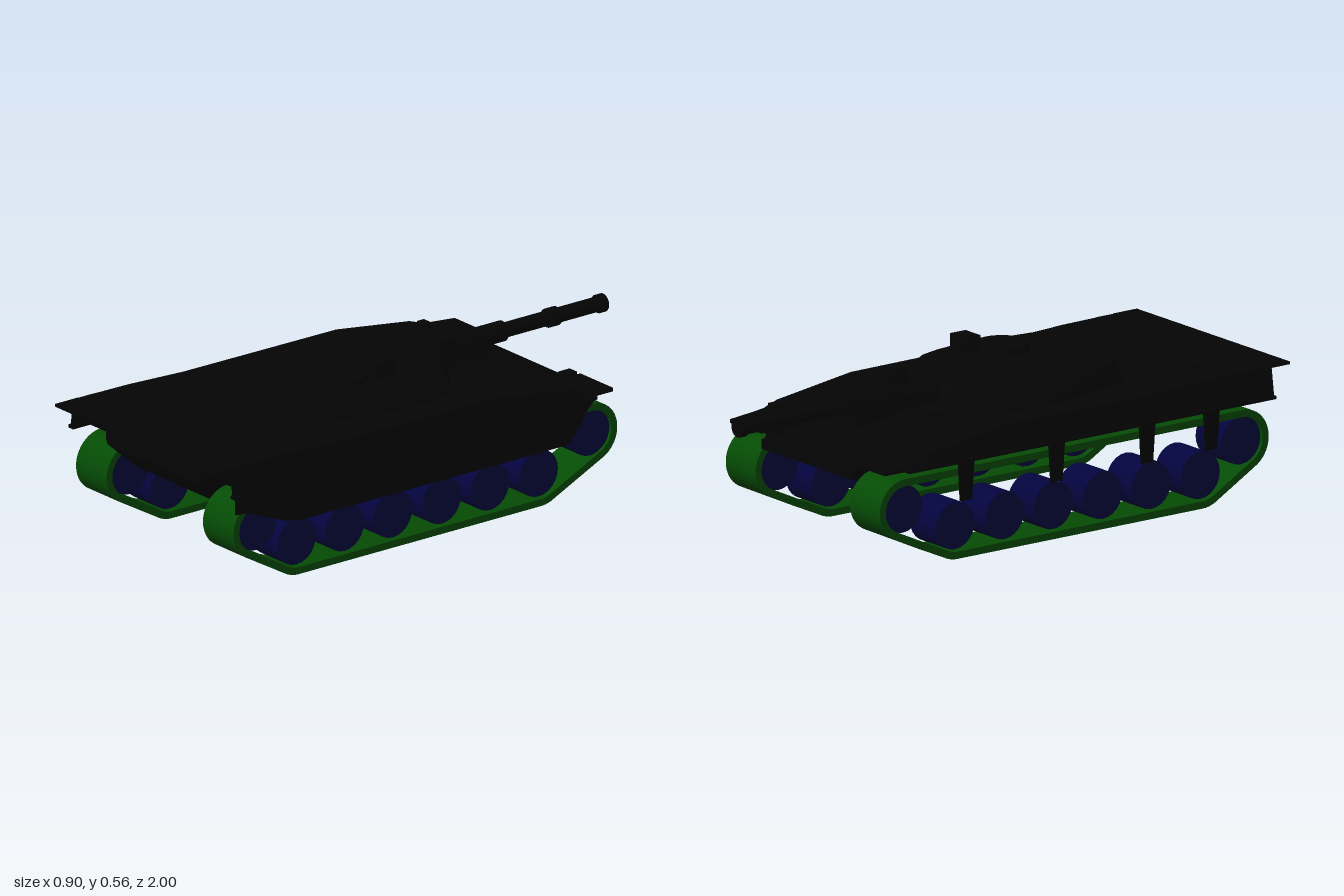
import * as THREE from 'three';

const black = new THREE.MeshStandardMaterial({ name: 'blackArmour', color: 0x040404 });
const green = new THREE.MeshStandardMaterial({ name: 'greenTrack', color: 0x054b05 });
const blue = new THREE.MeshStandardMaterial({ name: 'blueWheel', color: 0x04043e });

function add(parent, name, geometry, material, x = 0, y = 0, z = 0) {
  const mesh = new THREE.Mesh(geometry, material);
  mesh.name = name;
  mesh.position.set(x, y, z);
  parent.add(mesh);
  return mesh;
}

// Box given by its limits
function box(parent, name, [x0, x1], [y0, y1], [z0, z1]) {
  return add(parent, name, new THREE.BoxGeometry(x1 - x0, y1 - y0, z1 - z0), black,
    (x0 + x1) / 2, (y0 + y1) / 2, (z0 + z1) / 2);
}

// Faceted skin over matching rings of points, closed at both ends
function loft(rings) {
  const pos = [];
  const tri = (...pts) => pts.forEach(p => pos.push(...p));
  const n = rings[0].length;
  const centre = r => [0, 1, 2].map(k => r.reduce((s, p) => s + p[k], 0) / n);
  const first = rings[0], last = rings[rings.length - 1];
  for (let j = 0; j < n; j++) {
    const k = (j + 1) % n;
    for (let i = 0; i < rings.length - 1; i++) {
      const a = rings[i], b = rings[i + 1];
      tri(a[j], a[k], b[k]);
      tri(a[j], b[k], b[j]);
    }
    tri(centre(first), first[k], first[j]);
    tri(centre(last), last[j], last[k]);
  }
  const g = new THREE.BufferGeometry();
  g.setAttribute('position', new THREE.Float32BufferAttribute(pos, 3));
  g.computeVertexNormals();
  return g;
}

// Hull cross-section: z, bottom, top, half widths, z of the bottom edge
const section = (z, y0, y1, w0, w1, zb = z) => [[-w0, y0, zb], [w0, y0, zb], [w1, y1, z], [-w1, y1, z]];

// Side profile (z, y) extruded across x
function sideExtrude(shape, x0, width) {
  const g = new THREE.ExtrudeGeometry(shape, { depth: width, bevelEnabled: false, curveSegments: 10 });
  g.rotateY(-Math.PI / 2);
  g.translate(x0 + width, 0, 0);
  return g;
}

// Track outline around the end wheels and the road wheels
function trackLoop(Type, inset) {
  const s = new Type(), d = Math.PI / 180;
  s.absarc(0.63, 0.117, 0.117 - inset, -90 * d, -63 * d);
  s.absarc(0.80, 0.204, 0.108 - inset, -63 * d, 90 * d);
  s.absarc(-0.62, 0.207, 0.105 - inset, 90 * d, 248 * d);
  s.absarc(-0.40, 0.117, 0.117 - inset, 248 * d, 270 * d);
  s.closePath();
  return s;
}

// Cylinder lying along the gun axis, between two z values
function tube(parent, name, z0, z1, r) {
  const g = new THREE.CylinderGeometry(r, r, z1 - z0, 20);
  g.rotateX(Math.PI / 2);
  return add(parent, name, g, black, 0, 0.46, (z0 + z1) / 2);
}

export function createModel() {
  const tank = new THREE.Group();
  tank.name = 'tank';

  // Hull with a sloping front deck and undercut rear
  const hull = new THREE.Group();
  hull.name = 'hull';
  tank.add(hull);
  add(hull, 'upperHull', loft([
    section(-0.56, 0.337, 0.368, 0.43, 0.42),
    section(-0.51, 0.337, 0.385, 0.435, 0.42),
    section(-0.2, 0.337, 0.428, 0.435, 0.42),
    section(0.45, 0.337, 0.431, 0.435, 0.42),
    section(0.69, 0.337, 0.441, 0.435, 0.42),
    section(0.92, 0.337, 0.443, 0.435, 0.42, 0.85),
  ]), black);
  add(hull, 'lowerHull', loft([
    section(-0.705, 0.285, 0.318, 0.25, 0.25),
    section(-0.56, 0.23, 0.366, 0.235, 0.25),
    section(0.8, 0.23, 0.366, 0.235, 0.25),
    section(0.915, 0.335, 0.36, 0.245, 0.25),
  ]), black);
  box(hull, 'rearPlate', [-0.25, 0.25], [0.345, 0.44], [0.84, 0.915]);
  box(hull, 'rearDeckLip', [-0.418, 0.418], [0.436, 0.445], [0.9, 1.0]);
  box(hull, 'engineCover', [-0.28, 0.28], [0.435, 0.449], [0.68, 0.94]);

  // Fenders, front lamps, deck boxes and rear side plates
  for (const s of [-1, 1]) {
    const span = (a, b) => (s > 0 ? [a, b] : [-b, -a]);
    const [f0, f1] = span(0.25, 0.422);
    add(hull, 'frontFender', loft([[-0.705, 0.35], [-0.6, 0.36], [-0.555, 0.366]].map(([z, y]) =>
      [[f0, 0.337, z], [f1, 0.337, z], [f1, y, z], [f0, y, z]])), black);
    box(hull, 'fenderLip', span(0.42, 0.446), [0.335, 0.346], [-0.62, 0.92]);
    box(hull, 'frontLamp', span(0.21, 0.25), [0.31, 0.36], [-0.69, -0.64]);
    box(hull, 'deckBox', span(0.36, 0.405), [0.36, 0.385], [-0.56, -0.53]);
    const [a, b] = span(0.43, 0.435), [c, d] = span(0.415, 0.42);
    add(hull, 'rearSidePlate', loft([0.83, 0.92].map(z =>
      [[a, 0.337, z], [b, 0.337, z], [d, 0.443, z], [c, 0.443, z]])), black);
  }

  // Side skirt on one side, hanging straps on the other
  const skirt = new THREE.Shape([
    [0.92, 0.345], [0.92, 0.285], [0.87, 0.28], [0.72, 0.22], [0.65, 0.203],
    [-0.5, 0.203], [-0.54, 0.25], [-0.58, 0.31], [-0.62, 0.345],
  ].map(p => new THREE.Vector2(...p)));
  add(hull, 'sideSkirt', sideExtrude(skirt, 0.442, 0.004), black);
  for (const z of [-0.38, 0, 0.38, 0.65]) {
    add(hull, 'skirtStrap', loft([
      [[-0.443, 0.205, z + 0.025], [-0.439, 0.205, z + 0.025], [-0.439, 0.205, z - 0.025], [-0.443, 0.205, z - 0.025]],
      [[-0.45, 0.345, z + 0.03], [-0.434, 0.345, z + 0.03], [-0.434, 0.345, z - 0.03], [-0.45, 0.345, z - 0.03]],
    ]), black);
  }

  // Turret with rounded sloping walls
  const turret = new THREE.Group();
  turret.name = 'turret';
  tank.add(turret);
  const mirrorRing = half => [...half, ...half.map(([x, y, z]) => [-x, y, z]).reverse()];
  const base = [[0.21, 0.455], [0.24, 0.42], [0.308, 0.1], [0.308, -0.06], [0.27, -0.13], [0.17, -0.21]];
  const shoulder = [[0.195, 0.437, 0.5], [0.222, 0.4, 0.5], [0.262, 0.1, 0.5], [0.262, -0.02, 0.492],
    [0.222, -0.09, 0.487], [0.15, -0.2, 0.482]];
  const roof = [[0.18, 0.428, 0.513], [0.2, 0.39, 0.513], [0.235, 0.1, 0.513], [0.235, 0.02, 0.509],
    [0.2, -0.05, 0.498], [0.14, -0.19, 0.49]];
  add(turret, 'turretBody', loft([
    mirrorRing(base.map(([x, z]) => [x, 0.41, z])),
    mirrorRing(base.map(([x, z]) => [x, 0.438, z])),
    mirrorRing(shoulder.map(([x, z, y]) => [x, y, z])),
    mirrorRing(roof.map(([x, z, y]) => [x, y, z])),
  ]), black);

  // Roof fittings
  add(turret, 'hatch', new THREE.CylinderGeometry(0.09, 0.095, 0.03, 24), black, 0.115, 0.515, 0.2);
  box(turret, 'periscope', [0.128, 0.21], [0.49, 0.565], [0.055, 0.12]);
  box(turret, 'smallSight', [-0.185, -0.145], [0.5, 0.522], [0.075, 0.1]);
  box(turret, 'gunSight', [0.065, 0.095], [0.41, 0.53], [-0.3, -0.23]);
  const rail = new THREE.CatmullRomCurve3([[-0.2, -0.27], [-0.17, -0.3], [-0.1, -0.305], [-0.08, -0.28]]
    .map(([x, z]) => new THREE.Vector3(x, 0.435, z)));
  add(turret, 'frontRail', new THREE.TubeGeometry(rail, 10, 0.012, 6), black);

  // Gun
  const gun = new THREE.Group();
  gun.name = 'gun';
  tank.add(gun);
  box(gun, 'mantlet', [-0.07, 0.07], [0.41, 0.49], [-0.23, -0.15]);
  box(gun, 'gunCradle', [-0.026, 0.026], [0.37, 0.45], [-0.51, -0.22]);
  tube(gun, 'barrel', -0.99, -0.2, 0.026);
  tube(gun, 'barrelSleeve', -0.42, -0.2, 0.032);
  tube(gun, 'fumeExtractor', -0.51, -0.42, 0.036);
  tube(gun, 'middleCollar', -0.57, -0.51, 0.036);
  tube(gun, 'frontCollar', -0.8, -0.76, 0.033);
  tube(gun, 'muzzle', -1.0, -0.975, 0.032);

  // Running gear
  const loop = trackLoop(THREE.Shape, 0);
  loop.holes.push(trackLoop(THREE.Path, 0.025));
  const wheels = [[0.80, 0.204], [-0.62, 0.207]];
  for (const z of [0.63, 0.425, 0.22, 0.012, -0.193, -0.4]) wheels.push([z, 0.113]);
  for (const s of [-1, 1]) {
    const side = new THREE.Group();
    side.name = s > 0 ? 'leftRunningGear' : 'rightRunningGear';
    tank.add(side);
    add(side, 'track', sideExtrude(loop, s > 0 ? 0.257 : -0.42, 0.163), green);
    for (const [z, y] of wheels) {
      const g = new THREE.CylinderGeometry(0.082, 0.082, 0.14, 24);
      g.rotateZ(Math.PI / 2);
      add(side, 'wheel', g, blue, s * 0.338, y, z);
    }
  }
  return tank;
}
